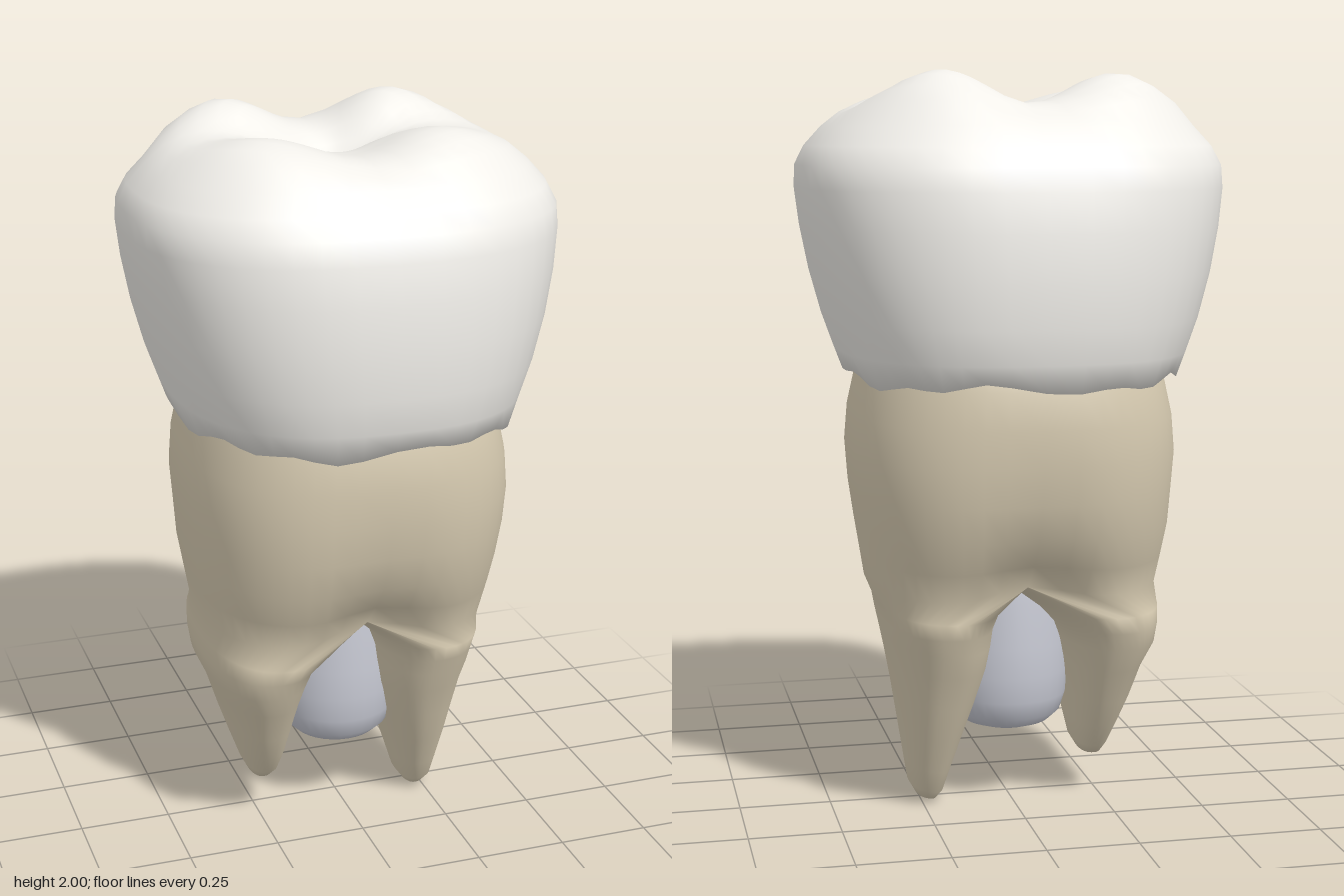
import * as THREE from 'three';
import { mergeVertices } from 'three/addons/utils/BufferGeometryUtils.js';

const N = 48;
const V = (x, y, z) => new THREE.Vector3(x, y, z);
const soft = (v, e) => Math.sign(v) * Math.pow(Math.abs(v), e);
const bell = (d, w) => Math.exp(-(d * d) / (w * w));

// Rounded-square ring, counter-clockwise from above
function ring(cx, rx, rz, e, yAt, start = 0) {
  const pts = [];
  for (let j = 0; j < N; j++) {
    const t = start + (j / N) * Math.PI * 2;
    const x = cx + rx * soft(Math.sin(t), e);
    const z = rz * soft(Math.cos(t), e);
    pts.push(V(x, typeof yAt === 'function' ? yAt(x, z, t) : yAt, z));
  }
  return pts;
}

// Triangles between rings listed from bottom to top
function loft(rings, out) {
  for (let i = 0; i + 1 < rings.length; i++) {
    for (let j = 0; j < N; j++) {
      const k = (j + 1) % N;
      const a = rings[i][j], b = rings[i][k], c = rings[i + 1][j], d = rings[i + 1][k];
      for (const tri of [[a, b, c], [b, d, c]]) {
        const [p, q, r] = tri;
        if (p.distanceTo(q) < 1e-5 || q.distanceTo(r) < 1e-5 || r.distanceTo(p) < 1e-5) continue;
        for (const v of tri) out.push(v.x, v.y, v.z);
      }
    }
  }
  return out;
}

function smoothMesh(name, positions, color) {
  let geo = new THREE.BufferGeometry();
  geo.setAttribute('position', new THREE.Float32BufferAttribute(positions, 3));
  geo = mergeVertices(geo, 1e-4);
  geo.computeVertexNormals();
  const mesh = new THREE.Mesh(geo, new THREE.MeshStandardMaterial({ color }));
  mesh.name = name;
  return mesh;
}

// Four cusps parted by a long groove and a shallow cross groove
function cusps(x, z) {
  let h = 0;
  for (const [cx, cz, amp] of [[0.2, -0.17, 0.105], [-0.24, -0.17, 0.095], [0.2, 0.18, 0.06], [-0.24, 0.18, 0.055]]) {
    h += amp * bell(x - cx, 0.17) * bell(z - cz, 0.16);
  }
  h -= 0.055 * bell(z + 0.03, 0.06) * bell(x, 0.26);
  return h - 0.015 * bell(x, 0.09);
}

function makeCrown() {
  const rings = [
    ring(0, 0.37, 0.43, 0.78, 1.25),
    // slightly ragged gum edge
    ring(0, 0.44, 0.495, 0.78, (x, z, t) => 1.205 + 0.009 * Math.sin(t * 5) + 0.009 * Math.sin(t * 11 + 1)),
  ];
  const walls = [
    [1.27, 0.465, 0.52], [1.36, 0.497, 0.535], [1.48, 0.53, 0.54], [1.6, 0.554, 0.533],
    [1.7, 0.567, 0.517], [1.76, 0.565, 0.498], [1.81, 0.54, 0.465], [1.86, 0.495, 0.42],
  ];
  for (const [y, rx, rz] of walls) rings.push(ring(0, rx, rz, 0.79, y));
  // chewing surface
  const top = [[1.89, 0.45, 0.375], [1.905, 0.4, 0.33], [1.907, 0.35, 0.285], [1.902, 0.3, 0.24], [1.897, 0.25, 0.2],
    [1.892, 0.2, 0.16], [1.89, 0.15, 0.12], [1.89, 0.1, 0.08], [1.89, 0.05, 0.04], [1.89, 0, 0]];
  for (const [y, rx, rz] of top) rings.push(ring(0, rx, rz, 0.82, (x, z) => y + cusps(x, z)));
  return smoothMesh('crown', loft(rings, []), 0xf0eee9);
}

function makeRoots() {
  const out = [];
  // trunk, with a hollow deepening towards the fork
  const trunk = [
    [1.26, 0.385, 0.45, 0], [1.2, 0.405, 0.472, 0], [1.1, 0.428, 0.48, 0], [1, 0.437, 0.478, 0.02],
    [0.9, 0.43, 0.467, 0.04], [0.8, 0.416, 0.445, 0.08], [0.71, 0.402, 0.41, 0.16], [0.63, 0.39, 0.37, 0.24],
  ].map(([y, rx, rz, dip], i) => {
    const lift = i > 5 ? (i - 5) * 0.012 : 0;
    const pts = ring(0, rx, rz, 0.76, (x) => y + lift * bell(x, 0.14));
    for (const p of pts) {
      p.z *= 1 - dip * bell(p.x, 0.14);
      if (p.x < 0 && y < 0.9) p.x *= 1.02;
    }
    return pts;
  });
  loft(trunk.slice().reverse(), out);

  // each root starts at half of the last trunk ring, closed by an arched bridge
  const last = trunk[trunk.length - 1];
  const half = N / 2;
  const addRoot = (side, sections, tip) => {
    const start = side > 0 ? 0 : Math.PI;
    const first = [];
    for (let j = 0; j < N; j++) {
      if (j <= half) {
        first.push(last[(j + (side > 0 ? 0 : half)) % N]);
      } else {
        const c = soft(Math.cos(start + (j / N) * Math.PI * 2), 0.9);
        first.push(V(0, last[0].y - 0.055 * (1 - c * c), c * last[0].z));
      }
    }
    const rings = [first];
    for (const [y, inner, outer, rz] of sections) {
      rings.push(ring(side * (inner + outer) / 2, (outer - inner) / 2, rz, 0.85,
        (x) => y + tip.tilt * (Math.abs(x) - inner) * (1 - y / 0.65), start));
    }
    rings.push(Array.from({ length: N }, () => V(side * tip.x, tip.y, 0)));
    loft(rings.reverse(), out);
  };
  addRoot(1, [
    [0.57, 0.04, 0.368, 0.345], [0.52, 0.058, 0.36, 0.32], [0.47, 0.064, 0.35, 0.305], [0.4, 0.075, 0.337, 0.27],
    [0.3, 0.105, 0.32, 0.228], [0.2, 0.138, 0.305, 0.182], [0.1, 0.168, 0.29, 0.13],
    [0.035, 0.187, 0.28, 0.095], [0.01, 0.205, 0.262, 0.065],
  ], { x: 0.222, y: 0.004, tilt: 0.2 });
  addRoot(-1, [
    [0.57, 0.05, 0.402, 0.345], [0.52, 0.1, 0.403, 0.32], [0.47, 0.122, 0.395, 0.305], [0.4, 0.14, 0.363, 0.262],
    [0.3, 0.16, 0.332, 0.21], [0.22, 0.172, 0.305, 0.16], [0.15, 0.187, 0.28, 0.11],
    [0.12, 0.205, 0.265, 0.075],
  ], { x: 0.24, y: 0.107, tilt: 0 });
  return smoothMesh('roots', out, 0xd8ccb2);
}

// Rounded core between the roots
function makeCore() {
  const profile = [[0, 0.205], [0.08, 0.208], [0.12, 0.222], [0.15, 0.25], [0.166, 0.3], [0.172, 0.37],
    [0.17, 0.45], [0.16, 0.58], [0.14, 0.75], [0.09, 0.92], [0, 0.97]];
  const geo = new THREE.LatheGeometry(profile.map(([r, y]) => new THREE.Vector2(r, y)), 32);
  const mesh = new THREE.Mesh(geo, new THREE.MeshStandardMaterial({ color: 0xc6c8d2 }));
  mesh.name = 'core';
  return mesh;
}

export function createModel() {
  const group = new THREE.Group();
  group.name = 'molarTooth';
  group.add(makeCrown(), makeRoots(), makeCore());
  return group;
}
